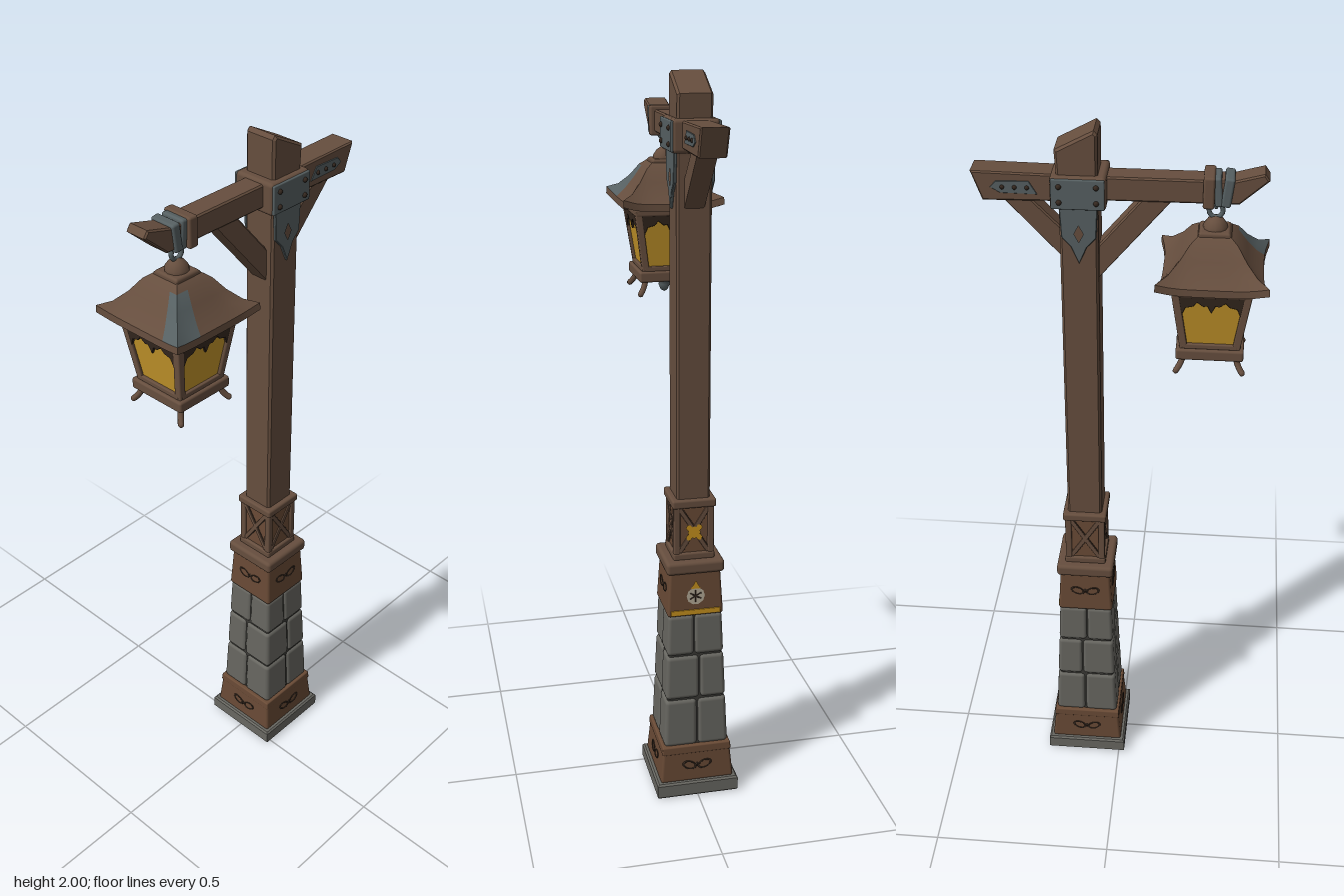
import * as THREE from 'three';
import { toCreasedNormals } from 'three/addons/utils/BufferGeometryUtils.js';
import { RoundedBoxGeometry } from 'three/addons/geometries/RoundedBoxGeometry.js';

const mat = (name, color) => Object.assign(new THREE.MeshStandardMaterial({ color }), { name });
const wood = mat('wood', 0x664e3e);
const carved = mat('carvedWood', 0x6a4b36);
const dark = mat('darkGroove', 0x35281f);
const stone = mat('stone', 0x686761);
const mortar = mat('mortar', 0x3a3935);
const iron = mat('iron', 0x566062);
const glass = mat('amberGlass', 0xc4952a);
const gold = mat('gold', 0xc8921e);
const pale = mat('paleInlay', 0xb5ab98);

const POST_X = 0.1, LAMP_X = -0.23;

function add(parent, name, geometry, material, x = 0, y = 0, z = 0) {
  const mesh = new THREE.Mesh(geometry, material);
  mesh.name = name;
  mesh.position.set(x, y, z);
  parent.add(mesh);
  return mesh;
}

const box = (w, h, d, r = 0.006) => new RoundedBoxGeometry(w, h, d, 2, Math.min(r, w / 2.1, h / 2.1, d / 2.1));

// square block whose half width runs from h0 (bottom) to h1 (top)
function taperedBlock(h0, h1, y0, y1, r = 0.008) {
  const g = box(2 * h0, y1 - y0, 2 * h0, r).translate(0, (y0 + y1) / 2, 0);
  const p = g.attributes.position;
  for (let i = 0; i < p.count; i++) {
    const s = THREE.MathUtils.lerp(1, h1 / h0, (p.getY(i) - y0) / (y1 - y0));
    p.setX(i, p.getX(i) * s);
    p.setZ(i, p.getZ(i) * s);
  }
  return g;
}

const polygon = pts => new THREE.Shape(pts.map(([x, y]) => new THREE.Vector2(x, y)));

// outline in x, y extruded symmetrically about z = 0
function slab(shape, depth, bevel = 0.004) {
  const g = new THREE.ExtrudeGeometry(shape, {
    depth: depth - 2 * bevel, bevelEnabled: bevel > 0, bevelSize: bevel, bevelOffset: -bevel,
    bevelThickness: bevel, bevelSegments: 1, curveSegments: 8,
  });
  return g.translate(0, 0, -depth / 2 + bevel);
}

// runs fn once per side; each side group faces +z before turning
function fourSides(parent, name, fn) {
  for (let s = 0; s < 4; s++) {
    const g = new THREE.Group();
    g.name = name;
    g.rotation.y = s * Math.PI / 2;
    parent.add(g);
    fn(g, s);
  }
}

// carved scroll: two flat rings with a bud between them
function scroll(parent, y, z, tilt) {
  for (const sx of [-1, 1]) {
    const ring = add(parent, 'carvedScroll', new THREE.TorusGeometry(0.014, 0.0025, 5, 14), dark, sx * 0.022, y, z);
    ring.scale.set(1.3, 0.8, 1);
    ring.rotation.set(tilt, 0, sx * 0.35);
  }
  add(parent, 'carvedBud', new THREE.OctahedronGeometry(0.009), dark, 0, y, z).scale.z = 0.4;
}

function buildPedestal() {
  const g = new THREE.Group();
  g.name = 'pedestal';
  // foot with a round socket underneath
  const foot = polygon([[-0.117, -0.117], [0.117, -0.117], [0.117, 0.117], [-0.117, 0.117]]);
  foot.holes.push(new THREE.Path().absarc(0, 0, 0.042, 0, Math.PI * 2, true));
  add(g, 'footSlab', slab(foot, 0.045, 0.005).rotateX(-Math.PI / 2), stone, 0, 0.0225, 0);
  add(g, 'lowerCollar', taperedBlock(0.106, 0.096, 0.042, 0.15), carved);
  add(g, 'lowerCollarRim', taperedBlock(0.1, 0.098, 0.128, 0.152, 0.004), carved);

  // stone courses, four rounded blocks each
  add(g, 'mortarCore', taperedBlock(0.086, 0.07, 0.145, 0.555), mortar);
  const rows = [[0.15, 0.294, 0.004], [0.297, 0.428, 0.012], [0.431, 0.552, -0.004]];
  for (const [y0, y1, seam] of rows) {
    for (const sx of [-1, 1]) for (const sz of [-1, 1]) {
      const w = 0.0925 - sx * seam, d = 0.0925 + sz * seam;
      const b = box(w - 0.002, y1 - y0, d - 0.002, 0.012)
        .translate(sx * (w / 2) + seam, (y0 + y1) / 2, sz * (d / 2) - seam);
      const p = b.attributes.position;
      for (let i = 0; i < p.count; i++) {
        const s = 1.01 - 0.18 * (p.getY(i) - 0.15) / 0.4;
        p.setX(i, p.getX(i) * s);
        p.setZ(i, p.getZ(i) * s);
      }
      add(g, 'stoneBlock', b, stone);
    }
  }

  // carved collar, lip and lattice block
  add(g, 'upperCollar', taperedBlock(0.079, 0.071, 0.55, 0.685), carved);
  add(g, 'collarLip', box(0.162, 0.036, 0.162, 0.01), wood, 0, 0.694, 0);
  add(g, 'latticeCore', box(0.1, 0.17, 0.1), carved, 0, 0.795, 0);
  add(g, 'latticeTopRim', box(0.122, 0.024, 0.122), wood, 0, 0.874, 0);
  add(g, 'latticeBottomRim', box(0.116, 0.022, 0.116), wood, 0, 0.72, 0);
  fourSides(g, 'pedestalSide', (side, s) => {
    add(side, 'latticeCorner', box(0.018, 0.16, 0.018, 0.004), wood, 0.047, 0.795, 0.047);
    for (const a of [-1, 1]) {
      add(side, 'latticeBar', box(0.012, 0.15, 0.006, 0.002), wood, 0, 0.796, 0.0515).rotation.z = a * 0.56;
      add(side, 'latticeGroove', box(0.003, 0.14, 0.002, 0.001), dark, 0.008, 0.796, 0.0505).rotation.z = a * 0.56;
    }
    scroll(side, 0.092, 0.1015, -0.09);
    if (s !== 1) scroll(side, 0.62, 0.0745, -0.06);
    else {
      // gilded emblems on one side only
      add(side, 'goldFlower', new THREE.CircleGeometry(0.018, 8), gold, 0, 0.79, 0.056);
      for (let i = 0; i < 4; i++) {
        const a = Math.PI / 4 + i * Math.PI / 2;
        add(side, 'goldPetal', new THREE.CircleGeometry(0.009, 6), gold, 0.02 * Math.cos(a), 0.79 + 0.02 * Math.sin(a), 0.0563);
      }
      add(side, 'goldStrip', box(0.14, 0.016, 0.006, 0.002), gold, 0, 0.562, 0.077);
      add(side, 'inlayDisc', new THREE.CircleGeometry(0.026, 10), pale, 0, 0.61, 0.0775);
      add(side, 'inlayCrown', new THREE.CircleGeometry(0.016, 3), gold, 0, 0.64, 0.0777).rotation.z = Math.PI / 2;
      for (const a of [0, 1, 2])
        add(side, 'inlayGroove', box(0.004, 0.036, 0.002, 0.001), dark, 0, 0.61, 0.0778).rotation.z = a * Math.PI / 3;
    }
  });
  return g;
}

function buildGallows() {
  const g = new THREE.Group();
  g.name = 'postAndBeam';
  add(g, 'post', slab(polygon([[0.052, 0.88], [0.148, 0.88], [0.148, 1.8], [0.157, 1.95], [0.062, 2.0], [0.053, 1.99]]), 0.092, 0.006), wood);
  add(g, 'longBeam', slab(polygon([[-0.355, 1.885], [-0.343, 1.902], [-0.27, 1.882], [0.2, 1.882],
    [0.2, 1.82], [-0.285, 1.823]]), 0.062), wood);
  add(g, 'shortBeam', slab(polygon([[0.12, 1.885], [0.362, 1.888], [0.335, 1.814], [0.12, 1.818]]), 0.072), wood);
  add(g, 'longBrace', slab(polygon([[-0.125, 1.825], [-0.05, 1.825], [0.06, 1.695], [0.06, 1.605]]), 0.052), wood);
  add(g, 'shortBrace', slab(polygon([[0.145, 1.665], [0.145, 1.745], [0.225, 1.825], [0.295, 1.825]]), 0.052), wood);
  add(g, 'joint', box(0.136, 0.084, 0.122, 0.01), wood, POST_X, 1.848, 0);

  // iron fittings on front and back
  const shield = polygon([[-0.047, 0.15], [0.047, 0.15], [0.043, 0.07], [0.02, 0.045], [0, 0], [-0.02, 0.045], [-0.043, 0.07]]);
  shield.holes.push(new THREE.Path([[0, 0.055], [-0.014, 0.08], [0, 0.105], [0.014, 0.08]].map(q => new THREE.Vector2(...q))));
  for (const sz of [-1, 1]) {
    add(g, 'jointPlate', box(0.13, 0.076, 0.008, 0.003), iron, POST_X, 1.848, sz * 0.061);
    add(g, 'jointShield', slab(shield, 0.009, 0.002), iron, POST_X, 1.662, sz * 0.049);
    for (const [x, y] of [[-0.045, 0.02], [0.045, 0.02], [-0.045, -0.02], [0.045, -0.02]])
      add(g, 'rivet', new THREE.SphereGeometry(0.007, 8, 6), dark, POST_X + x, 1.848 + y, sz * 0.065);
    add(g, 'beamPlate', slab(polygon([[0.2, 1.835], [0.22, 1.868], [0.3, 1.866], [0.315, 1.85], [0.29, 1.836]]), 0.005, 0.001), iron, 0, 0, sz * 0.036);
    for (const x of [0.225, 0.255, 0.285])
      add(g, 'beamStud', new THREE.SphereGeometry(0.006, 6, 5), dark, x, 1.851, sz * 0.038);
  }

  // straps that carry the lantern
  add(g, 'ironStrap', box(0.024, 0.074, 0.074), iron, -0.257, 1.853, 0).rotation.z = 0.12;
  add(g, 'ironStrap', box(0.02, 0.074, 0.07), iron, -0.234, 1.853, 0).rotation.z = -0.1;
  add(g, 'woodStrap', box(0.028, 0.08, 0.086), wood, -0.212, 1.853, 0);
  return g;
}

// swept roof: square rings with raised, flared corners
function roofGeometry() {
  const profile = [[0.04, 1.742, 0], [0.058, 1.728, 0], [0.08, 1.694, 0.1], [0.104, 1.662, 0.4],
    [0.125, 1.641, 1], [0.126, 1.622, 1], [0.09, 1.622, 0.2]];
  const N = 10, ring = 4 * N, pos = [], brown = [], grey = [];
  for (const [h, y, flare] of profile) for (let k = 0; k < ring; k++) {
    const u = -1 + 2 * (k % N) / N, c = flare * Math.abs(u) ** 5;
    let x = u * (h + 0.013 * c), z = h + 0.013 * c;
    for (let s = 0; s < Math.floor(k / N); s++) [x, z] = [z, -x];
    pos.push(x, y + 0.016 * c, z);
  }
  for (let i = 0; i < profile.length - 1; i++) for (let k = 0; k < ring; k++) {
    const a = i * ring + k, b = i * ring + (k + 1) % ring;
    const worn = i > 0 && i < 4 && (k < 3 || k >= ring - 2);
    (worn ? grey : brown).push(a, a + ring, b + ring, a, b + ring, b);
  }
  const g = new THREE.BufferGeometry();
  g.setAttribute('position', new THREE.Float32BufferAttribute(pos, 3));
  g.setIndex([...brown, ...grey]);
  g.addGroup(0, brown.length, 0);
  g.addGroup(brown.length, grey.length, 1);
  return toCreasedNormals(g, 0.6);
}

function buildLantern() {
  const g = new THREE.Group();
  g.name = 'lantern';
  g.position.x = LAMP_X;
  add(g, 'roof', roofGeometry(), [wood, iron]);
  add(g, 'roofCap', taperedBlock(0.048, 0.036, 1.73, 1.75, 0.006), wood);
  add(g, 'capKnob', new THREE.LatheGeometry([[0.03, 1.745], [0.03, 1.758], [0.02, 1.772], [0.008, 1.78], [0, 1.781]]
    .map(q => new THREE.Vector2(...q)), 12), wood);
  add(g, 'hangingRing', new THREE.TorusGeometry(0.017, 0.006, 8, 16), iron, 0, 1.794, 0);
  add(g, 'hook', new THREE.TorusGeometry(0.013, 0.005, 8, 14), iron, 0, 1.816, 0).rotation.y = Math.PI / 2;
  add(g, 'bodyTop', box(0.2, 0.022, 0.2), wood, 0, 1.615, 0);
  add(g, 'bodyFloor', box(0.172, 0.03, 0.172), wood, 0, 1.435, 0);
  add(g, 'bottomFinial', new THREE.LatheGeometry([[0, 1.376], [0.01, 1.382], [0.017, 1.398], [0.012, 1.408], [0.032, 1.422]]
    .map(q => new THREE.Vector2(...q)), 12), iron);

  // leaning glass, corner posts, fretwork and splayed feet
  const lean = Math.atan2(0.024, 0.165);
  const fret = polygon([[-0.085, 0.08], [0.085, 0.08], [0.074, 0.018], [0.064, 0.045], [0.045, 0.05], [0.035, 0.062],
    [0.02, 0.05], [0.01, 0.052], [0, 0.03], [-0.01, 0.052], [-0.02, 0.05], [-0.035, 0.062], [-0.045, 0.05], [-0.064, 0.045], [-0.074, 0.018]]);
  fourSides(g, 'lanternSide', side => {
    const pane = polygon([[-0.07, -0.083], [0.07, -0.083], [0.092, 0.083], [-0.092, 0.083]]);
    add(side, 'glassPane', slab(pane, 0.006, 0), glass, 0, 1.53, 0.077).rotation.x = lean;
    add(side, 'fretwork', slab(fret, 0.008, 0.001), dark, 0, 1.53, 0.083).rotation.x = lean;
    add(side, 'sillRail', box(0.14, 0.014, 0.012, 0.003), wood, 0, 1.456, 0.072);
    const post = box(0.02, 0.175, 0.02, 0.004), p = post.attributes.position;
    for (let i = 0; i < p.count; i++) {
      const o = 0.078 + 0.145 * p.getY(i);
      p.setX(i, p.getX(i) + o);
      p.setZ(i, p.getZ(i) + o);
    }
    add(side, 'cornerPost', post, wood, 0, 1.53, 0);
    const path = new THREE.QuadraticBezierCurve3(new THREE.Vector3(0.066, 1.432, 0.066),
      new THREE.Vector3(0.068, 1.405, 0.068), new THREE.Vector3(0.084, 1.388, 0.084));
    add(side, 'foot', new THREE.TubeGeometry(path, 6, 0.008, 7), wood);
    add(side, 'footTip', new THREE.SphereGeometry(0.008, 7, 5), wood, 0.084, 1.388, 0.084);
  });
  return g;
}

export function createModel() {
  const model = new THREE.Group();
  model.name = 'lampPost';
  const pedestal = buildPedestal();
  pedestal.position.x = POST_X;
  model.add(pedestal, buildGallows(), buildLantern());
  return model;
}
